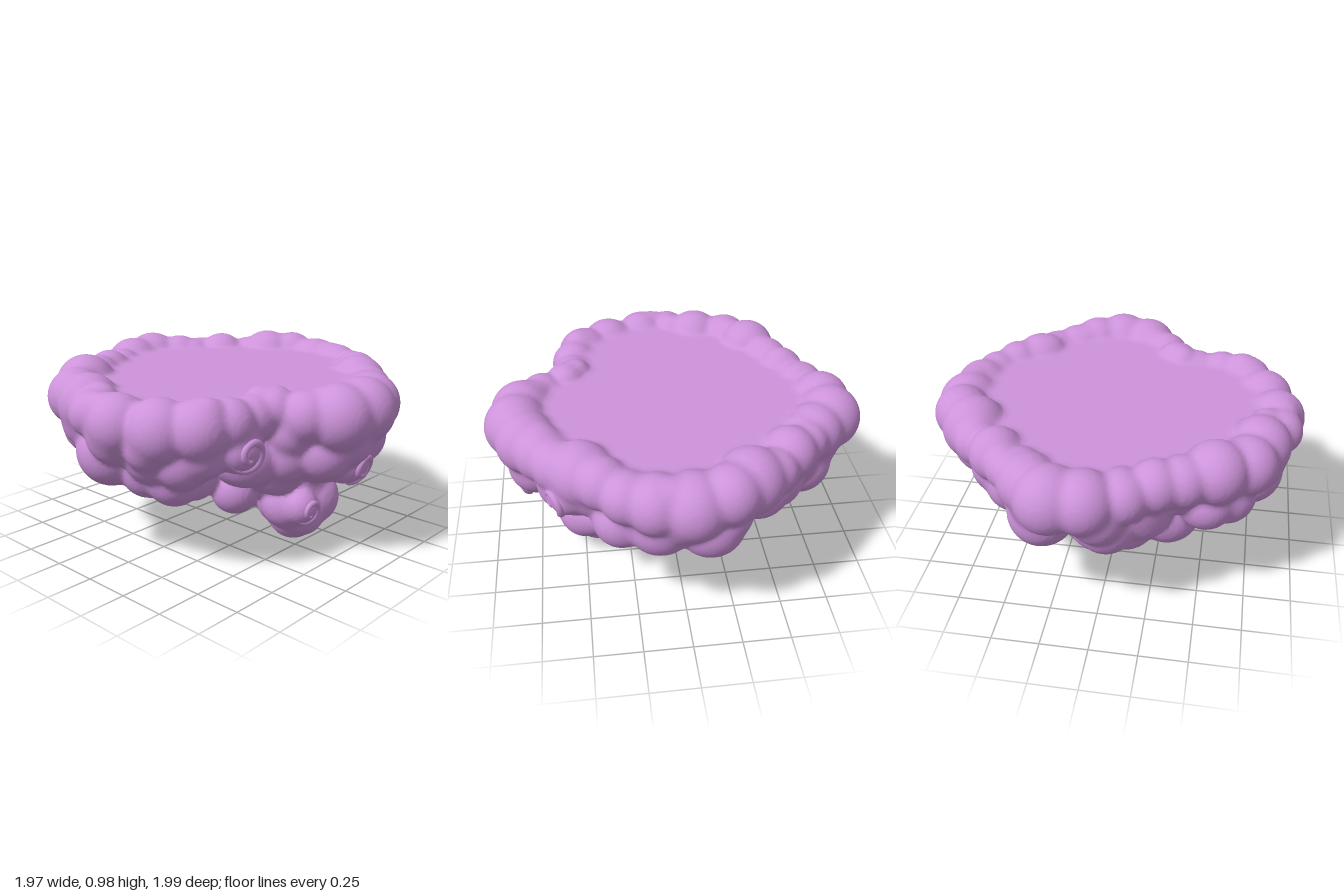
import * as THREE from 'three';

// Footprint radius every 15 degrees, from +z round towards +x
const OUTLINE = [1.0, 0.98, 0.97, 0.83, 0.68, 0.83, 1.0, 0.97, 0.9, 0.89, 0.9, 0.96,
  1.0, 0.98, 0.91, 0.89, 0.89, 1.02, 0.97, 0.86, 0.85, 0.92, 0.97, 0.95];
const TOP = 0.88; // height of the flat standing surface
const STEP = 0.015; // sampling step of the body

// Curled puffs: centre, radius, facing direction
const CURLS = [
  [[0.51, 0.67, 0.49], 0.125, [1, -0.1, 0.15]],
  [[0.72, 0.51, -0.11], 0.13, [1, -0.3, -0.05]],
  [[0.56, 0.68, -0.55], 0.11, [1, -0.15, -0.4]],
  [[0.55, 0.25, 0.04], 0.1, [1, -0.15, 0.1]],
];

function outline(deg) {
  const t = (((deg % 360) + 360) % 360) / 15;
  const i = Math.floor(t);
  return THREE.MathUtils.lerp(OUTLINE[i % 24], OUTLINE[(i + 1) % 24], t - i);
}

function seeded(seed) {
  return () => {
    seed = (seed * 16807) % 2147483647;
    return seed / 2147483647;
  };
}

// All puffs of the body as [x, y, z, radius]
function layOutPuffs() {
  const puffs = CURLS.map(([c, r]) => [...c, r * 0.97]);
  const rand = seeded(41);

  // Puff whose outer side touches a fraction of the footprint
  function edgePuff(deg, y, r, reach) {
    const a = THREE.MathUtils.degToRad(deg);
    const d = outline(deg) * reach - r;
    puffs.push([Math.sin(a) * d, y, Math.cos(a) * d, r]);
  }

  // Rim: [degrees, radius, top height]
  [[5, 0.15, 0.93], [20, 0.16, 0.93], [33, 0.15, 0.93], [354, 0.12, 0.92], [342, 0.16, 0.96],
    [329, 0.15, 0.95], [316, 0.16, 0.98], [303, 0.13, 0.94], [292, 0.13, 0.94], [280, 0.13, 0.92],
    [267, 0.16, 0.95], [256, 0.17, 0.96], [245, 0.15, 0.94], [235, 0.11, 0.92], [225, 0.14, 0.95],
    [213, 0.12, 0.92], [203, 0.17, 0.97], [193, 0.15, 0.96], [181, 0.17, 0.94], [169, 0.15, 0.93],
    [159, 0.13, 0.92], [149, 0.13, 0.94], [138, 0.16, 0.95], [128, 0.13, 0.92], [118, 0.14, 0.93],
    [108, 0.16, 0.95], [97, 0.17, 0.96], [86, 0.17, 0.95], [75, 0.13, 0.92], [64, 0.11, 0.93],
    [53, 0.12, 0.91], [43, 0.13, 0.92],
  ].forEach(([deg, r, top]) => edgePuff(deg, top - r, r, 1));

  // Small lumps breaking up the top of the rim
  for (let i = 0; i < 18; i++) edgePuff((i + rand()) * 20, 0.83 + rand() * 0.03, 0.08, 0.87 + rand() * 0.08);

  // Tapering rows of the underside: [count, y, radius, reach]
  [[20, 0.69, 0.14, 0.95], [18, 0.6, 0.165, 0.92], [15, 0.51, 0.16, 0.77], [10, 0.39, 0.15, 0.57],
  ].forEach(([n, y, r, reach], row) => {
    for (let i = 0; i < n; i++) {
      const deg = ((i + 0.5 * row + 0.5 * (rand() - 0.5)) * 360) / n;
      edgePuff(deg, y + (rand() - 0.5) * 0.07, r * (0.88 + rand() * 0.25), reach + (rand() - 0.5) * 0.06);
    }
  });

  // Lowest puffs under the middle, then the hanging lobe
  puffs.push([-0.29, 0.28, 0.02, 0.13], [-0.38, 0.33, -0.12, 0.13], [-0.14, 0.33, 0.16, 0.13],
    [0, 0.35, -0.05, 0.14], [0.16, 0.26, 0.08, 0.13], [0.12, 0.34, -0.3, 0.13],
    [-0.12, 0.32, -0.24, 0.13], [0.26, 0.32, 0.22, 0.13], [0.05, 0.33, -0.42, 0.12],
    [0.42, 0.14, -0.08, 0.14], [0.48, 0.24, -0.14, 0.16], [0.35, 0.2, -0.04, 0.12], [0.45, 0.24, 0.02, 0.14],
    [0.42, 0.26, -0.2, 0.13], [0.5, 0.17, -0.05, 0.12], [0.44, 0.36, -0.08, 0.16]);
  return puffs;
}

// Signed distance at a point: flat-topped cone softly joined with the puffs
function bodyDistance(x, y, z, edge, puffs) {
  const blend = 0.025;
  const cone = 0.6 * (Math.hypot(x, z) - (edge * 0.82 * (y - 0.24)) / 0.62);
  let d = Math.max(y - TOP, cone);
  for (const [px, py, pz, r] of puffs) {
    const sq = (x - px) ** 2 + (y - py) ** 2 + (z - pz) ** 2;
    const limit = d + blend + r;
    if (limit < 0 || sq > limit * limit) continue;
    const e = Math.sqrt(sq) - r;
    const h = Math.max(blend - Math.abs(d - e), 0);
    d = Math.min(d, e) - (h * h) / (4 * blend);
  }
  return d;
}

// Skin of the body: one vertex per grid cell the surface crosses, one quad per crossed grid edge
function bodyGeometry() {
  const puffs = layOutPuffs();
  const size = [142, 74, 142];
  const origin = [-70.5 * STEP, -0.04, -70.5 * STEP];
  const stride = [1, size[0], size[0] * size[1]];
  const field = new Float32Array(size[0] * size[1] * size[2]);
  const node = (i, j, k) => i + j * stride[1] + k * stride[2];

  for (let k = 0; k < size[2]; k++) {
    for (let i = 0; i < size[0]; i++) {
      const x = origin[0] + i * STEP, z = origin[2] + k * STEP;
      const edge = outline(THREE.MathUtils.radToDeg(Math.atan2(x, z)));
      for (let j = 0; j < size[1]; j++) {
        field[node(i, j, k)] = bodyDistance(x, origin[1] + j * STEP, z, edge, puffs);
      }
    }
  }

  const positions = [], indices = [];
  const vertexOf = new Int32Array(field.length).fill(-1);
  const crosses = (a, b) => field[a] < 0 !== field[b] < 0;
  for (let k = 0; k < size[2] - 1; k++) {
    for (let j = 0; j < size[1] - 1; j++) {
      for (let i = 0; i < size[0] - 1; i++) {
        const id = node(i, j, k);
        const sum = [0, 0, 0];
        let count = 0;
        for (let corner = 0; corner < 8; corner++) {
          const bits = [corner & 1, (corner >> 1) & 1, corner >> 2];
          const a = id + node(...bits);
          for (let axis = 0; axis < 3; axis++) {
            const b = a + stride[axis];
            if (bits[axis] || !crosses(a, b)) continue;
            for (let n = 0; n < 3; n++) sum[n] += bits[n];
            sum[axis] += field[a] / (field[a] - field[b]);
            count++;
          }
        }
        if (!count) continue;
        vertexOf[id] = positions.length / 3;
        [i, j, k].forEach((cell, n) => positions.push(origin[n] + (cell + sum[n] / count) * STEP));
      }
    }
  }

  for (let k = 1; k < size[2] - 1; k++) {
    for (let j = 1; j < size[1] - 1; j++) {
      for (let i = 1; i < size[0] - 1; i++) {
        const id = node(i, j, k);
        for (let axis = 0; axis < 3; axis++) {
          if (!crosses(id, id + stride[axis])) continue;
          const u = stride[(axis + 1) % 3], w = stride[(axis + 2) % 3];
          const q = [id - u - w, id - w, id, id - u].map((c) => vertexOf[c]);
          if (field[id] >= 0) q.reverse();
          indices.push(q[0], q[1], q[2], q[0], q[2], q[3]);
        }
      }
    }
  }

  const geo = new THREE.BufferGeometry();
  geo.setAttribute('position', new THREE.Float32BufferAttribute(positions, 3));
  geo.setIndex(indices);
  geo.computeVertexNormals();
  return geo;
}

// Snail-like ridge on a unit dome, facing +z
function spiralGeometry() {
  const pts = [];
  for (let i = 0; i <= 36; i++) {
    const t = i / 36;
    const a = -t * Math.PI * 2.9;
    const rho = 0.08 + 0.72 * t;
    pts.push(new THREE.Vector3(Math.cos(a) * rho, Math.sin(a) * rho, 0.9 * Math.sqrt(1 - rho * rho)));
  }
  const curve = new THREE.CatmullRomCurve3(pts);
  const segs = 80, sides = 12;
  const geo = new THREE.TubeGeometry(curve, segs, 0.24, sides);
  const pos = geo.attributes.position;
  const v = new THREE.Vector3();
  for (let i = 0; i <= segs; i++) {
    const t = i / segs;
    const c = curve.getPointAt(t);
    const k = (0.5 + 0.5 * t) * Math.min(1, t * 12, (1 - t) * 3);
    for (let n = i * (sides + 1); n < (i + 1) * (sides + 1); n++) {
      v.fromBufferAttribute(pos, n).sub(c).multiplyScalar(k).add(c);
      pos.setXYZ(n, v.x, v.y, v.z);
    }
  }
  return geo;
}

export function createModel() {
  const model = new THREE.Group();
  model.name = 'cloudPlatform';
  const cloud = new THREE.MeshStandardMaterial({ color: 0xcd93da });
  cloud.name = 'orchid cloud';

  const body = new THREE.Mesh(bodyGeometry(), cloud);
  body.name = 'cloudBody';
  model.add(body);

  const spiral = spiralGeometry();
  for (const [centre, radius, facing] of CURLS) {
    const ridge = new THREE.Mesh(spiral, cloud);
    ridge.name = 'spiralRidge';
    ridge.position.set(...centre);
    ridge.scale.setScalar(radius);
    ridge.quaternion.setFromUnitVectors(new THREE.Vector3(0, 0, 1), new THREE.Vector3(...facing).normalize());
    model.add(ridge);
  }
  return model;
}
